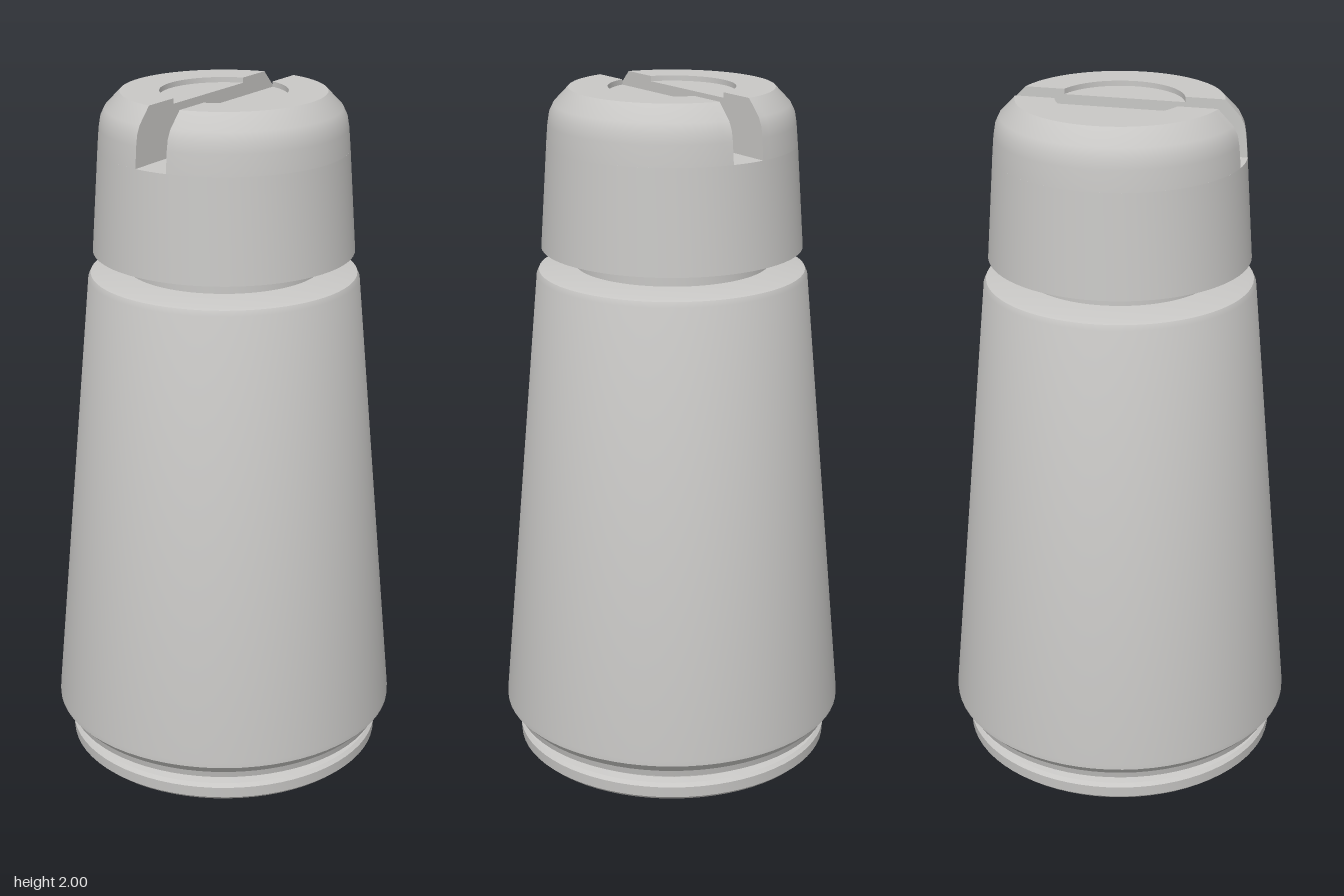
import * as THREE from 'three';
import { toCreasedNormals } from 'three/addons/utils/BufferGeometryUtils.js';

const SEGMENTS = 72;
const SLOT = 0.05;        // half width of the slot
const SLOT_FLOOR = 1.84;
const CREASE = 0.5;

const metal = new THREE.MeshStandardMaterial({ color: 0xc8c7c5 });
metal.name = 'light grey metal';

const toPoints = (profile) => profile.map(([r, y]) => new THREE.Vector2(r, y));

function add(parent, name, geometry) {
  const mesh = new THREE.Mesh(geometry, metal);
  mesh.name = name;
  parent.add(mesh);
  return mesh;
}

// Turned part, profile listed as [radius, height] from bottom to top
function turned(profile) {
  return toCreasedNormals(new THREE.LatheGeometry(toPoints(profile), SEGMENTS), CREASE);
}

// Half of a turned part, cut flat at x = SLOT
function turnedHalf(profile) {
  const geometry = new THREE.LatheGeometry(toPoints(profile), SEGMENTS / 2, 0, Math.PI);
  const p = geometry.attributes.position;
  for (let i = 0; i < p.count; i++) {
    const r = Math.hypot(p.getX(i), p.getZ(i));
    const t = Math.atan2(p.getX(i), p.getZ(i)) / Math.PI - 0.5;
    const angle = Math.PI / 2 + t * 2 * Math.acos(Math.min(1, SLOT / r));
    p.setX(i, r * Math.sin(angle));
    p.setZ(i, r * Math.cos(angle));
  }
  return toCreasedNormals(geometry, CREASE);
}

// Flat side of the slot, following the same profile
function slotWall(profile) {
  const half = profile.map(([r, y]) => [Math.sqrt(Math.max(0, r * r - SLOT * SLOT)), y]);
  const outline = [...half, ...half.slice(0, -1).reverse().map(([z, y]) => [-z, y])];
  const geometry = new THREE.ShapeGeometry(new THREE.Shape(toPoints(outline)));
  geometry.rotateY(-Math.PI / 2);
  geometry.translate(SLOT, 0, 0);
  return geometry;
}

export function createModel() {
  const model = new THREE.Group();
  model.name = 'slottedPlug';

  // Foot disc and the groove above it
  add(model, 'foot', turned([
    [0, 0], [0.455, 0], [0.468, 0.012], [0.47, 0.045], [0.46, 0.055],
    [0.435, 0.06], [0.435, 0.085],
  ]));

  // Tapered body with a chamfered lower rim
  add(model, 'body', turned([
    [0.435, 0.08], [0.475, 0.085], [0.48, 0.105], [0.508, 0.135], [0.508, 0.15],
    [0.39, 1.465], [0.383, 1.48], [0.37, 1.484], [0.28, 1.495],
  ]));

  // Narrow neck between body and cap
  add(model, 'neck', turned([[0.28, 1.49], [0.28, 1.535]]));

  // Cap below the slot, closed by the slot floor
  const cap = new THREE.Group();
  cap.name = 'cap';
  model.add(cap);
  add(cap, 'capSkirt', turned([
    [0.28, 1.53], [0.375, 1.545], [0.355, SLOT_FLOOR], [0, SLOT_FLOOR],
  ]));

  // Two halves of the cap top, with a shallow round recess
  const top = [
    [0.355, SLOT_FLOOR], [0.35, 1.9], [0.345, 1.93], [0.333, 1.955],
    [0.29, 2], [0.18, 2], [0.18, 1.985], [0.0501, 1.985],
  ];
  for (const [side, turn] of [['left', 0], ['right', Math.PI]]) {
    const half = new THREE.Group();
    half.name = side + 'CapTop';
    half.rotation.y = turn;
    add(half, side + 'CapShell', turnedHalf(top));
    add(half, side + 'SlotWall', slotWall(top));
    cap.add(half);
  }
  return model;
}
